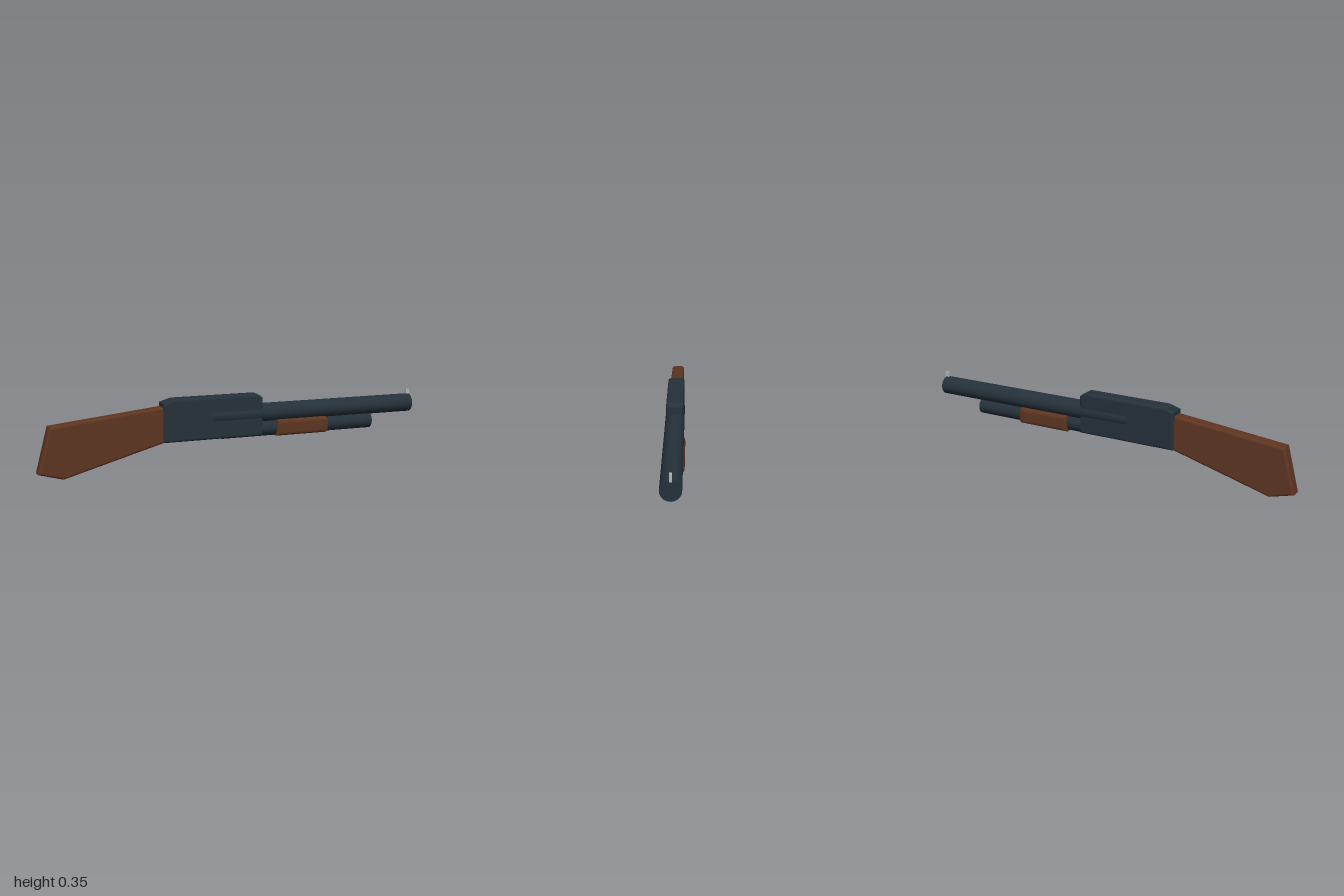
import * as THREE from 'three';

const metal = new THREE.MeshStandardMaterial({ color: 0x25313a });
metal.name = 'dark metal';
const wood = new THREE.MeshStandardMaterial({ color: 0x5e3521 });
wood.name = 'brown wood';
const steel = new THREE.MeshStandardMaterial({ color: 0xb4b8b8 });
steel.name = 'light steel';

function addMesh(group, name, geometry, material) {
  const mesh = new THREE.Mesh(geometry, material);
  mesh.name = name;
  group.add(mesh);
  return mesh;
}

// Side outline extruded across z, with rounded edges kept inside the outline
function slab(points, halfWidth, bevel) {
  const shape = new THREE.Shape(points.map(([x, y]) => new THREE.Vector2(x, y)));
  const depth = 2 * (halfWidth - bevel);
  const geometry = new THREE.ExtrudeGeometry(shape, {
    depth,
    bevelEnabled: true,
    bevelThickness: bevel,
    bevelSize: bevel,
    bevelOffset: -bevel,
    bevelSegments: 3,
  });
  return geometry.translate(0, 0, -depth / 2);
}

// Closed round tube lying along x
function rod(x0, x1, y, radius) {
  return new THREE.CylinderGeometry(radius, radius, x1 - x0, 32)
    .rotateZ(-Math.PI / 2)
    .translate((x0 + x1) / 2, y, 0);
}

export function createModel() {
  const group = new THREE.Group();
  group.name = 'pumpActionLongGun';

  // Shoulder stock
  addMesh(group, 'stock', slab([
    [-1, 0.036], [-0.88, 0.003], [-0.38, 0.141], [-0.38, 0.316], [-0.942, 0.256],
  ], 0.033, 0.012), wood);

  // Receiver with sloped top corners
  addMesh(group, 'receiver', slab([
    [-0.392, 0.14], [0.13, 0.14], [0.13, 0.333], [0.105, 0.351], [-0.335, 0.351], [-0.392, 0.333],
  ], 0.042, 0.012), metal);

  // Barrel and the magazine tube beneath it
  addMesh(group, 'barrel', rod(-0.14, 0.996, 0.252, 0.047), metal);
  addMesh(group, 'magazineTube', rod(-0.08, 0.755, 0.174, 0.0415), metal);

  // Sliding fore grip
  addMesh(group, 'foreGrip', slab([
    [0.205, 0.133], [0.485, 0.133], [0.497, 0.15], [0.497, 0.198], [0.485, 0.215], [0.205, 0.215],
  ], 0.052, 0.017), wood);

  // Front sight post
  addMesh(group, 'frontSight', new THREE.BoxGeometry(0.018, 0.035, 0.013), steel)
    .position.set(0.99, 0.307, 0);

  return group;
}
